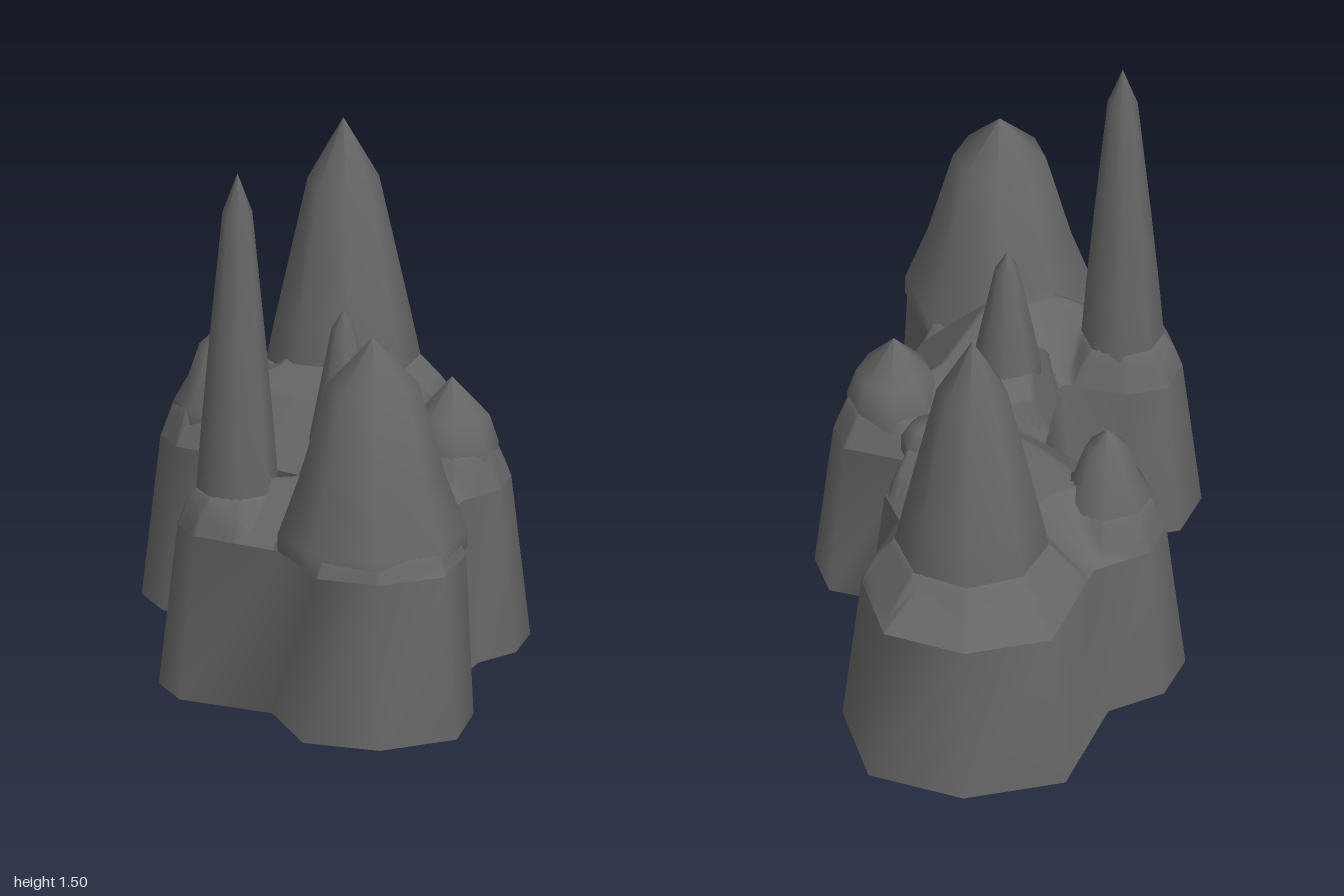
import * as THREE from 'three';

const stone = new THREE.MeshStandardMaterial({ color: 0x666666, side: THREE.DoubleSide });
stone.name = 'dark grey stone';

const RIM_HEIGHT = 0.47, GRID = 0.01;

// Footprint as [x, z, taper of the wall], running back -> right -> front -> left
const FOOTPRINT = [
  [0.05, -1], [0.32, -0.91], [0.41, -0.63], [0.32, -0.36], [0.37, -0.24], [0.32, -0.12],
  [0.48, -0.08], [0.53, 0.06], [0.48, 0.21], [0.37, 0.29], [0.27, 0.5, 0.03], [0.33, 0.71, 0.02],
  [0.27, 0.92, 0.04], [0.05, 1], [-0.16, 0.92], [-0.23, 0.67, 0.03], [-0.48, 0.54], [-0.53, 0.4],
  [-0.48, 0.25], [-0.33, 0.2], [-0.19, 0.23], [-0.17, 0.04], [-0.26, -0.03], [-0.37, -0.14],
  [-0.48, -0.2], [-0.53, -0.34], [-0.48, -0.49], [-0.33, -0.58], [-0.23, -0.91],
].map(([x, z, taper = 0.05]) => ({ p: new THREE.Vector2(x, z), taper }));

// Peaks: name, x, z, foot [radius, height], then profile of [radius, height] up to the tip
const PEAKS = [
  ['backPeak', 0.05, -0.6, [0.34, 0.46], [[0.215, 0.6], [0.19, 0.72], [0.1, 1.13], [0, 1.305]]],
  ['frontPeak', 0.05, 0.67, [0.29, 0.46], [[0.265, 0.53], [0.2, 0.71], [0.13, 0.97], [0, 1.105]]],
  ['tallSpire', -0.31, 0.4, [0.17, 0.5], [[0.115, 0.58], [0.102, 0.75], [0.08, 1], [0.042, 1.39], [0, 1.505]]],
  ['rightPeak', 0.31, 0.08, [0.18, 0.47], [[0.13, 0.58], [0.105, 0.66], [0, 0.775]]],
  ['leftPeak', -0.31, -0.33, [0.18, 0.49], [[0.13, 0.58], [0.09, 0.65], [0.06, 0.74], [0, 0.8]]],
  ['smallSpire', 0, 0.18, [0.16, 0.58], [[0.095, 0.64], [0.068, 0.78], [0.033, 0.96], [0, 1.015]]],
  ['outerKnob', 0.19, -0.16, [0.14, 0.52], [[0.085, 0.62], [0.055, 0.66], [0, 0.69]]],
  ['innerKnob', 0.07, -0.18, [0.13, 0.58], [[0.07, 0.63], [0, 0.66]]],
];

// Top edge of the wall: each footprint corner moved inward by its taper
function rimPoints() {
  const n = FOOTPRINT.length;
  const normal = (a, b) => new THREE.Vector2(a.y - b.y, b.x - a.x).normalize();
  return FOOTPRINT.map(({ p, taper }, i) => {
    const n1 = normal(FOOTPRINT[(i + n - 1) % n].p, p);
    const n2 = normal(p, FOOTPRINT[(i + 1) % n].p);
    return n1.clone().add(n2).multiplyScalar(taper / (1 + n1.dot(n2))).add(p);
  });
}

function makeGeometry(positions, index) {
  const geometry = new THREE.BufferGeometry();
  geometry.setAttribute('position', new THREE.Float32BufferAttribute(positions, 3));
  geometry.setIndex(index);
  geometry.computeVertexNormals();
  return geometry;
}

// Tapering outer wall, open below
function wallGeometry(rim) {
  const n = FOOTPRINT.length, positions = [], index = [];
  FOOTPRINT.forEach(({ p }) => positions.push(p.x, 0, p.y));
  rim.forEach((p) => positions.push(p.x, RIM_HEIGHT, p.y));
  for (let a = 0; a < n; a++) {
    const b = (a + 1) % n;
    index.push(a, a + n, b, b, a + n, b + n);
  }
  return makeGeometry(positions, index);
}

// Nearest point on the rim, and whether p lies inside it
function locate(p, rim) {
  let nearest = null, distance = Infinity, inside = false;
  rim.forEach((a, i) => {
    const b = rim[(i + 1) % rim.length];
    const edge = b.clone().sub(a);
    const t = THREE.MathUtils.clamp(p.clone().sub(a).dot(edge) / edge.lengthSq(), 0, 1);
    const q = a.clone().addScaledVector(edge, t);
    if (q.distanceTo(p) < distance) {
      nearest = q;
      distance = q.distanceTo(p);
    }
    if ((a.y > p.y) !== (b.y > p.y) && p.x < a.x + edge.x * (p.y - a.y) / edge.y) inside = !inside;
  });
  return { nearest, distance, inside };
}

// Radius measured on an octagon with corners on the axes
function octagonRadius(x, z) {
  const c = Math.cos(Math.PI / 8), s = Math.sin(Math.PI / 8);
  const ax = Math.abs(x), az = Math.abs(z);
  return Math.max(ax * c + az * s, ax * s + az * c) / c;
}

// Ground rising from the rim and sloping up to the foot of each peak
function groundGeometry(rim) {
  const positions = [], index = [], state = [];
  const cols = Math.round(1.06 / GRID), rows = Math.round(2 / GRID);
  for (let j = 0; j <= rows; j++) {
    for (let i = 0; i <= cols; i++) {
      const p = new THREE.Vector2(-0.53 + i * GRID, -1 + j * GRID);
      const { nearest, distance, inside } = locate(p, rim);
      let y = RIM_HEIGHT + Math.min(0.16, distance * 0.9);
      let underPeak = false;
      for (const [, x, z, foot, profile] of PEAKS) {
        const r = octagonRadius(p.x - x, p.y - z), [r0, y0] = profile[0];
        if (inside && r < r0 - 2 * GRID) underPeak = true;
        if (r < foot[0]) y = Math.max(y, THREE.MathUtils.mapLinear(Math.max(r, r0), foot[0], r0, foot[1], y0));
      }
      // Keep the edge joined to the wall; points past the rim are pulled back onto it
      if (inside) positions.push(p.x, Math.min(y, RIM_HEIGHT + distance * 3), p.y);
      else positions.push(nearest.x, RIM_HEIGHT, nearest.y);
      state.push({ inside, underPeak });
    }
  }
  for (let j = 0; j < rows; j++) {
    for (let i = 0; i < cols; i++) {
      const a = j * (cols + 1) + i, b = a + 1, c = a + cols + 1, d = c + 1;
      const corners = [a, b, c, d].map((k) => state[k]);
      // Skip cells outside the rim and those hidden in the hollow of a peak
      if (!corners.some((s) => s.inside) || corners.every((s) => s.underPeak)) continue;
      index.push(a, c, b, b, c, d);
    }
  }
  return makeGeometry(positions, index);
}

export function createModel() {
  const model = new THREE.Group();
  model.name = 'rockCluster';

  const add = (name, geometry, x = 0, z = 0) => {
    const mesh = new THREE.Mesh(geometry, stone);
    mesh.name = name;
    mesh.position.set(x, 0, z);
    model.add(mesh);
  };

  const rim = rimPoints();
  add('rockWall', wallGeometry(rim));
  add('rockGround', groundGeometry(rim));

  for (const [name, x, z, , profile] of PEAKS) {
    // The first ring is carried a little way below the ground
    const [r0, y0] = profile[0];
    const points = [[r0, y0 - 0.05], ...profile].map(([r, y]) => new THREE.Vector2(r, y));
    add(name, new THREE.LatheGeometry(points, 8), x, z);
  }
  return model;
}
